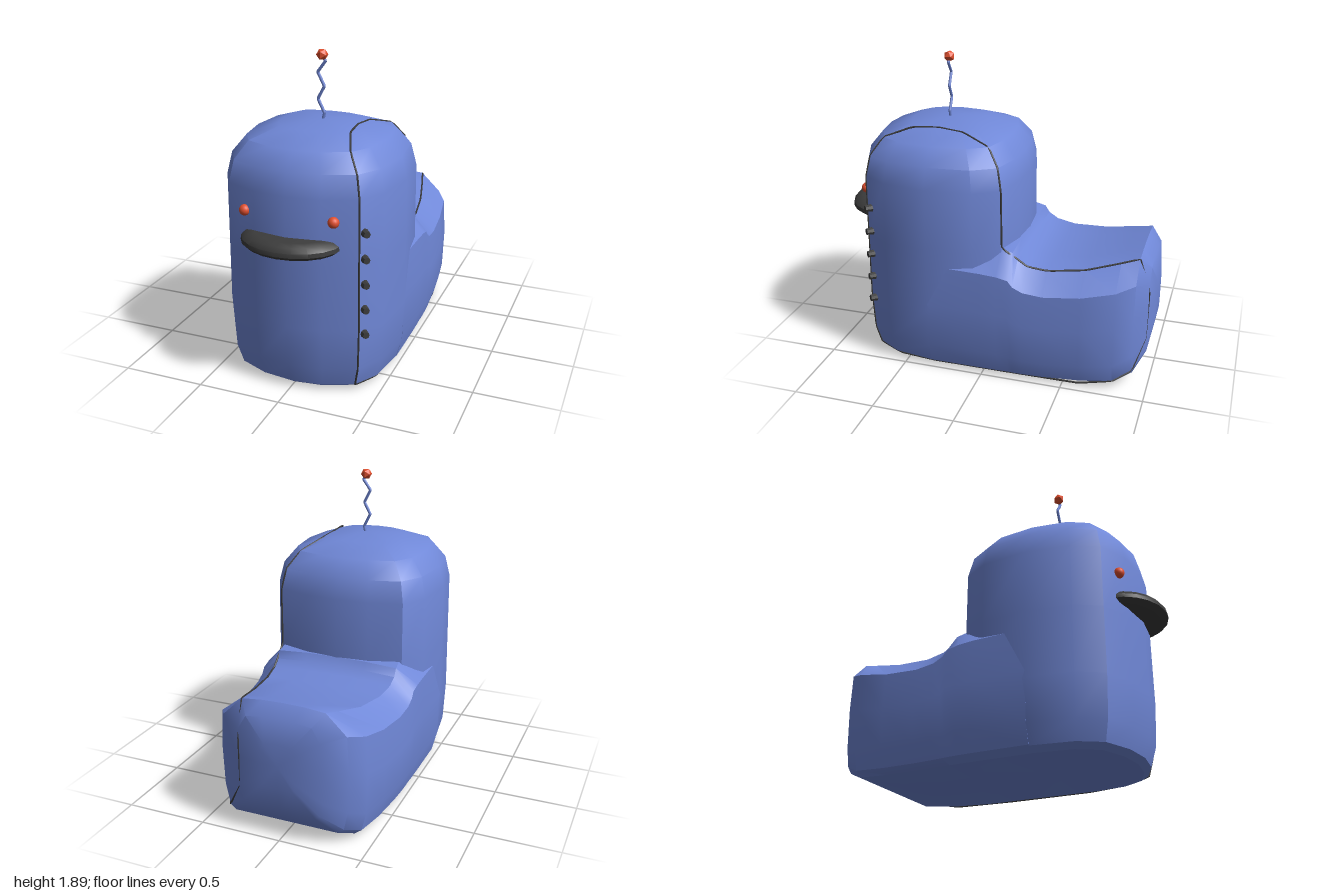
import * as THREE from 'three';
import { toCreasedNormals } from 'three/addons/utils/BufferGeometryUtils.js';

const material = (color) => new THREE.MeshStandardMaterial({ color });
const V = (x, y, z) => new THREE.Vector3(x, y, z);

// Closes a half outline (first and last point on x = 0) by mirroring it.
function mirrorRing(half) {
  const other = half.slice(1, -1).reverse().map((p) => V(-p.x, p.y, p.z));
  return [...half, ...other];
}

// Skins a series of rings and caps both ends.
function loft(rings, crease = 0.6) {
  const n = rings[0].length;
  const points = rings.flat();
  const index = [];
  for (let i = 0; i < rings.length - 1; i++) {
    for (let j = 0; j < n; j++) {
      const a = i * n + j, b = i * n + (j + 1) % n;
      index.push(a, b, b + n, a, b + n, a + n);
    }
  }
  const addCap = (ring, offset, flip) => {
    const c = points.length;
    points.push(ring.reduce((s, p) => s.add(p), V(0, 0, 0)).divideScalar(n));
    for (let j = 0; j < n; j++) {
      const a = offset + j, b = offset + (j + 1) % n;
      index.push(c, flip ? b : a, flip ? a : b);
    }
  };
  addCap(rings[0], 0, true);
  addCap(rings[rings.length - 1], (rings.length - 1) * n, false);
  const g = new THREE.BufferGeometry().setFromPoints(points);
  g.setIndex(index);
  return toCreasedNormals(g, crease);
}

export function createModel() {
  const model = new THREE.Group();
  const blue = material(0x7088d8);
  const dark = material(0x3c3c3c);
  const orange = material(0xe2502f);
  const add = (name, geometry, mat, x = 0, y = 0, z = 0) => {
    const mesh = new THREE.Mesh(geometry, mat);
    mesh.name = name;
    mesh.position.set(x, y, z);
    model.add(mesh);
    return mesh;
  };

  // Upright body: one plan outline scaled about its centre at each height
  const CZ = 0.34;
  const plan = [[0, 0.855], [0.2, 0.83], [0.39, 0.75], [0.48, 0.6], [0.52, 0.33],
    [0.49, 0.05], [0.4, -0.1], [0.2, -0.155], [0, -0.17]];
  const levels = [[0, 0.84], [0.03, 0.92], [0.15, 0.985], [0.4, 1.01], [0.8, 1.005],
    [1.18, 1], [1.31, 0.94], [1.41, 0.78], [1.472, 0.45], [1.488, 0.12]];
  add('uprightBody', loft(levels.map(([y, s]) =>
    mirrorRing(plan.map(([x, z]) => V(x * s, y, CZ + (z - CZ) * s))))), blue);

  // Tail: upright sections with a saddle-shaped top
  // [z, half width, half width of top, top, bottom]
  const sections = [
    [0.33, 0.525, 0.4, 0.85, 0], [0, 0.525, 0.36, 0.84, 0], [-0.1, 0.523, 0.385, 0.83, 0],
    [-0.17, 0.52, 0.39, 0.81, 0], [-0.2, 0.52, 0.39, 0.765, 0], [-0.26, 0.518, 0.385, 0.73, 0],
    [-0.38, 0.51, 0.37, 0.712, 0], [-0.6, 0.49, 0.335, 0.732, 0.005], [-0.8, 0.46, 0.285, 0.782, 0.02],
    [-0.905, 0.39, 0.255, 0.81, 0.07], [-0.97, 0.26, 0.2, 0.74, 0.17], [-0.995, 0.11, 0.08, 0.6, 0.32],
  ];
  const tailRing = ([z, w, tw, top, bot]) => {
    const h = top - bot;
    return mirrorRing([
      V(0, top, z), V(tw * 0.5, top - 0.003, z), V(tw, top - 0.015, z),
      V(w * 0.97, bot + h * 0.82, z), V(w, bot + h * 0.52, z), V(w * 0.98, bot + h * 0.19, z),
      V(w * 0.92, bot + h * 0.04, z), V(w * 0.83, bot, z), V(0, bot, z),
    ]);
  };
  add('tail', loft(sections.map(tailRing)), blue);

  // Seam running right round the left side
  const seam = new THREE.CurvePath();
  const seamPoints = [
    [0.36, 0.03, 0.72], [0.385, 0.15, 0.744], [0.393, 0.4, 0.754], [0.39, 1.18, 0.75],
    [0.367, 1.31, 0.725], [0.304, 1.41, 0.66], [0.24, 1.468, 0.5], [0.225, 1.474, 0.34],
    [0.24, 1.462, 0.18], [0.312, 1.41, 0], [0.376, 1.31, -0.074], [0.4, 1.18, -0.1],
    [0.4, 0.82, -0.105], [0.39, 0.765, -0.19], [0.385, 0.715, -0.26], [0.37, 0.697, -0.38],
    [0.335, 0.717, -0.6], [0.285, 0.767, -0.8], [0.255, 0.795, -0.905], [0.252, 0.6, -0.97],
    [0.255, 0.28, -0.965], [0.36, 0.1, -0.905], [0.423, 0.05, -0.8], [0.44, 0.01, -0.6],
    [0.43, 0, -0.2], [0.436, 0.002, 0.33], [0.43, 0.015, 0.56], [0.36, 0.03, 0.72],
  ].map((p) => V(...p));
  for (let i = 0; i < seamPoints.length - 1; i++) {
    seam.add(new THREE.LineCurve3(seamPoints[i], seamPoints[i + 1]));
  }
  add('seam', new THREE.TubeGeometry(seam, 160, 0.006, 5, true), dark);

  // Buttons beside the seam
  for (let i = 0; i < 5; i++) {
    const g = new THREE.CylinderGeometry(0.02, 0.026, 0.05, 8);
    g.rotateX(Math.PI / 2);
    g.rotateY(Math.PI / 4);
    add('button', toCreasedNormals(g, 0.5), dark, 0.418, 0.985 - i * 0.152, 0.73);
  }

  // Bill: a turned disc, stretched sideways
  const billProfile = [[0, 0.845], [0.72, 0.85], [0.92, 0.868], [1, 0.888], [0.99, 0.912],
    [0.9, 0.938], [0.75, 0.95], [0, 0.945]].map(([r, y]) => new THREE.Vector2(r, y));
  const billGeometry = new THREE.LatheGeometry(billProfile, 20);
  billGeometry.scale(0.3, 1, 0.235);
  add('bill', toCreasedNormals(billGeometry, 0.6), dark, 0, 0, 0.76);

  // Eyes
  for (const side of [1, -1]) {
    add('eye', new THREE.SphereGeometry(0.032, 16, 12), orange, side * 0.265, 1.055, 0.81);
  }

  // Zigzag antenna with a faceted ball
  const zigzag = new THREE.CurvePath();
  const bends = [[0.01, 1.47], [0.022, 1.52], [-0.018, 1.6], [0.022, 1.675], [-0.018, 1.755],
    [0.03, 1.82], [0.01, 1.85]].map(([x, y]) => V(x, y, CZ));
  for (let i = 0; i < bends.length - 1; i++) {
    zigzag.add(new THREE.LineCurve3(bends[i], bends[i + 1]));
  }
  add('antenna', new THREE.TubeGeometry(zigzag, 60, 0.009, 6), blue);
  add('antennaBall', new THREE.IcosahedronGeometry(0.035, 0),
    new THREE.MeshStandardMaterial({ color: 0xe2502f, flatShading: true }), 0.01, 1.855, CZ);

  return model;
}
